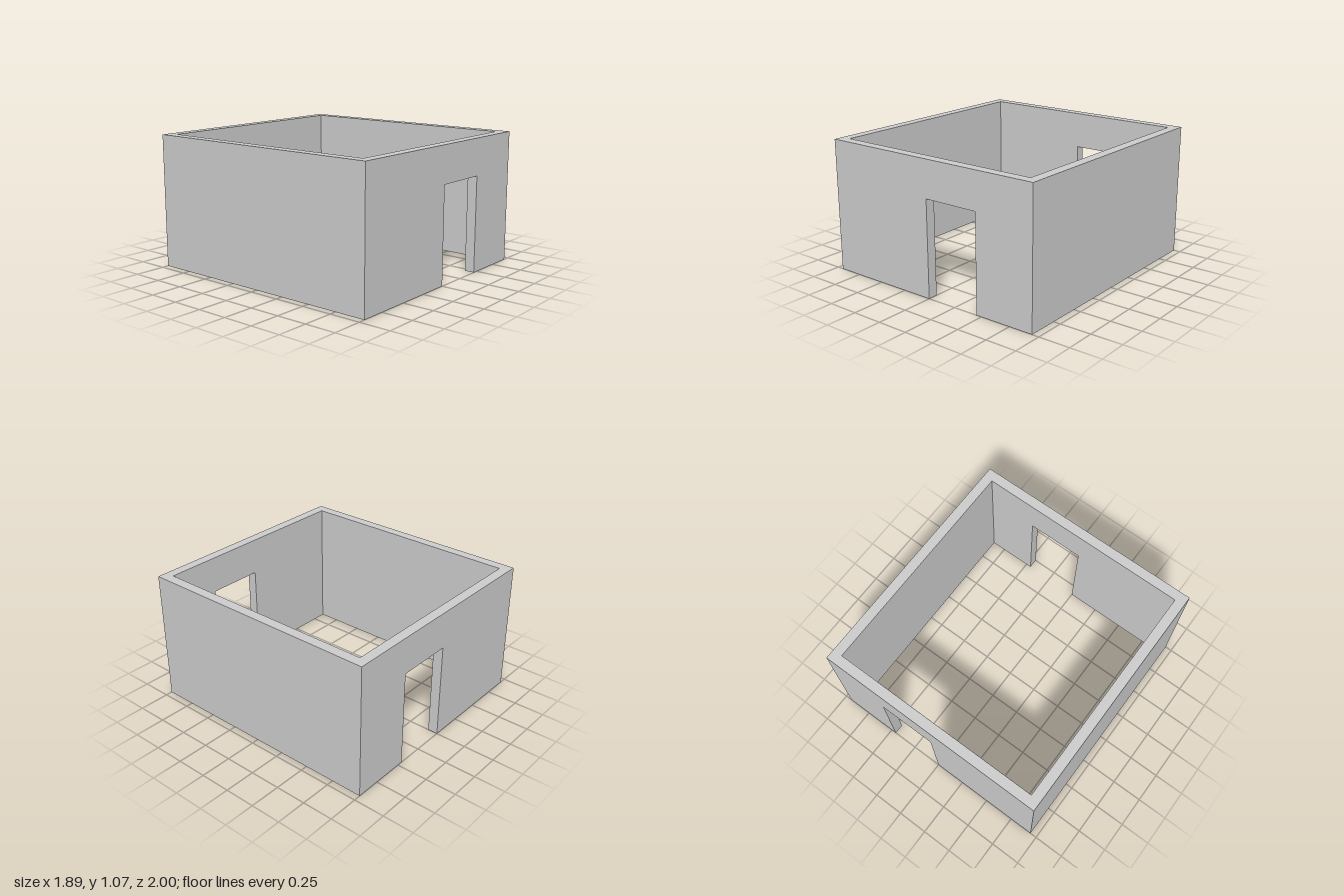
import * as THREE from 'three';

const WIDTH = 1.89, DEPTH = 2, HEIGHT = 1.065, WALL = 0.08;
const DOOR = { left: 0, right: 0.456, top: 0.77 };

export function createModel() {
  const model = new THREE.Group();
  model.name = 'roomShell';
  const material = new THREE.MeshStandardMaterial({ color: 0xcccccc, flatShading: true });
  const w = WIDTH / 2;

  // End walls: one outline notched by a doorway that reaches the ground
  const outline = new THREE.Shape([
    [-w, 0], [DOOR.left, 0], [DOOR.left, DOOR.top], [DOOR.right, DOOR.top],
    [DOOR.right, 0], [w, 0], [w, HEIGHT], [-w, HEIGHT],
  ].map(([x, y]) => new THREE.Vector2(x, y)));
  const endGeometry = new THREE.ExtrudeGeometry(outline, { depth: WALL, bevelEnabled: false });
  for (const [name, z] of [['frontWall', DEPTH / 2 - WALL], ['backWall', -DEPTH / 2]]) {
    const wall = new THREE.Mesh(endGeometry, material);
    wall.name = name;
    wall.position.z = z;
    model.add(wall);
  }

  // Plain side walls fitted between the end walls
  const sideGeometry = new THREE.BoxGeometry(WALL, HEIGHT, DEPTH - 2 * WALL);
  for (const [name, side] of [['leftWall', 1], ['rightWall', -1]]) {
    const wall = new THREE.Mesh(sideGeometry, material);
    wall.name = name;
    wall.position.set(side * (w - WALL / 2), HEIGHT / 2, 0);
    model.add(wall);
  }
  return model;
}
